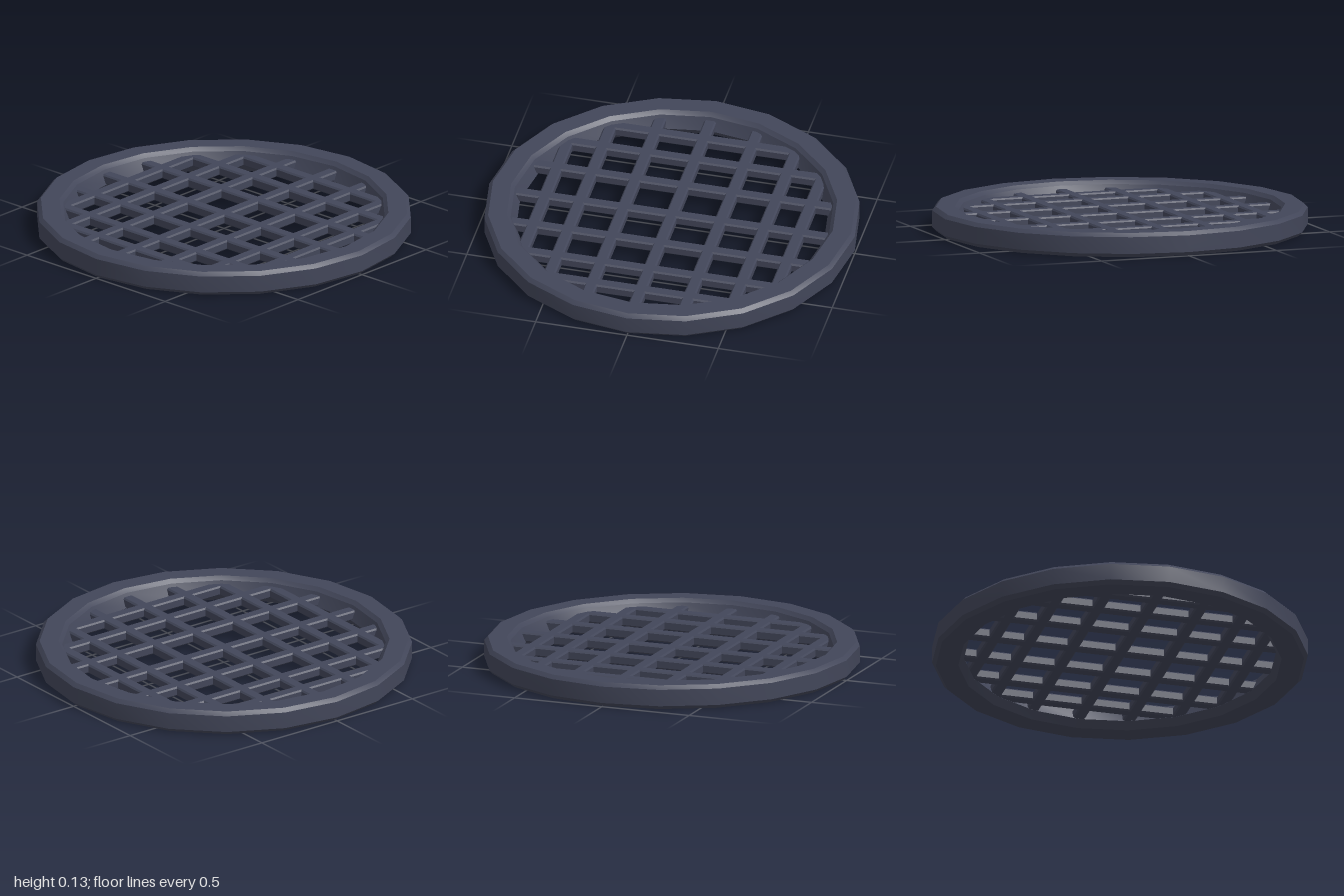
import * as THREE from 'three';
import { toCreasedNormals } from 'three/addons/utils/BufferGeometryUtils.js';

const material = new THREE.MeshStandardMaterial({ color: 0x424659 });

// Twenty-sided rim with chamfered edges, corners on the x and z axes
function createRim() {
  const profile = [
    [0.86, 0], [0.98, 0], [1, 0.02], [1, 0.11], [0.98, 0.13],
    [0.88, 0.13], [0.86, 0.11], [0.83, 0.04], [0.86, 0],
  ].map(([r, y]) => new THREE.Vector2(r, y));
  const rim = new THREE.Mesh(toCreasedNormals(new THREE.LatheGeometry(profile, 20), 0.36), material);
  rim.name = 'rim';
  return rim;
}

// Straight bar along z with chamfered long edges
function createBar(halfLength) {
  const w = 0.033, h = 0.026, c = 0.008;
  const section = new THREE.Shape([
    [-w + c, -h], [w - c, -h], [w, -h + c], [w, h - c],
    [w - c, h], [-w + c, h], [-w, h - c], [-w, -h + c],
  ].map(([x, y]) => new THREE.Vector2(x, y)));
  const geometry = new THREE.ExtrudeGeometry(section, { depth: 2 * halfLength, bevelEnabled: false });
  geometry.translate(0, 0, -halfLength);
  return new THREE.Mesh(geometry, material);
}

export function createModel() {
  const model = new THREE.Group();
  model.name = 'roundGrate';
  model.add(createRim());

  // Seven bars each way, as offset from the centre and half length
  const bars = [[0, 0.85], [0.265, 0.83], [0.505, 0.728], [0.695, 0.538]];
  for (const direction of ['lengthwise', 'crosswise']) {
    const set = new THREE.Group();
    set.name = direction + 'Bars';
    for (const [offset, halfLength] of bars) {
      for (const side of offset ? [-1, 1] : [1]) {
        const bar = createBar(halfLength);
        bar.name = direction + 'Bar';
        bar.position.set(side * offset, 0.067, 0);
        set.add(bar);
      }
    }
    if (direction === 'crosswise') set.rotation.y = Math.PI / 2;
    model.add(set);
  }
  return model;
}
